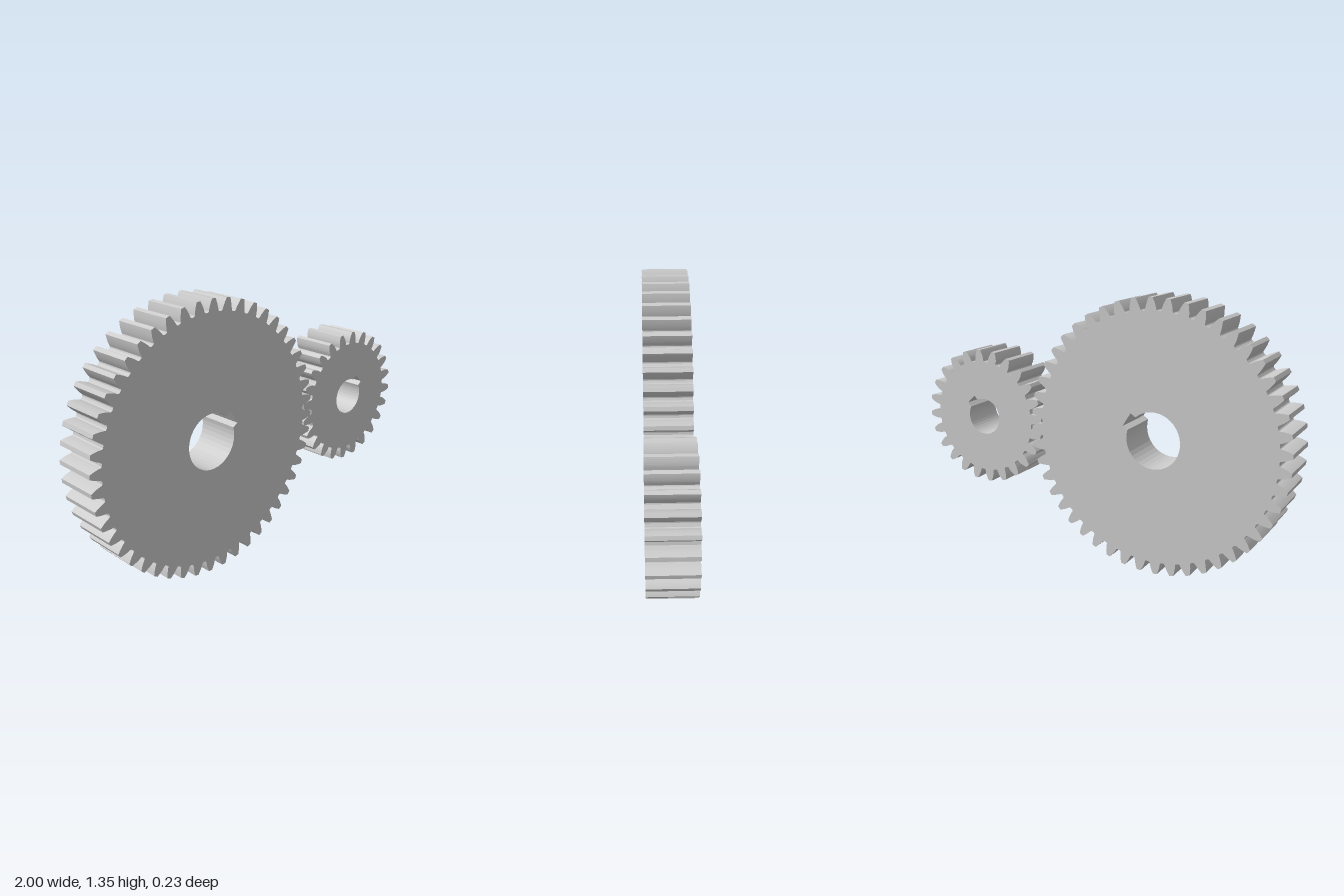
import * as THREE from 'three';

const MODULE = 0.02706;            // pitch diameter / tooth count
const PRESSURE = THREE.MathUtils.degToRad(20);
const THICKNESS = 0.23;
const AXLE_Y = 0.676;

const polar = (r, a) => new THREE.Vector2(r * Math.cos(a), r * Math.sin(a));
const involute = (a) => Math.tan(a) - a;

// Outline of an involute spur gear; teeth are turned back by a quarter pitch.
function gearOutline(teeth) {
  const pitchR = MODULE * teeth / 2;
  const baseR = pitchR * Math.cos(PRESSURE);
  const tipR = pitchR + MODULE;
  const rootR = pitchR - 1.25 * MODULE;
  const pitch = 2 * Math.PI / teeth;
  const halfAngle = (r) =>
    pitch / 4 + involute(PRESSURE) - involute(Math.acos(Math.min(1, baseR / r)));

  // One flank from root to tip as [radius, half angle]
  const startR = Math.max(baseR, rootR + 0.2 * MODULE);
  const steps = 6;
  const flank = [[rootR, halfAngle(startR) + 0.08 * pitch], [rootR + 0.1 * MODULE, halfAngle(startR) + 0.02 * pitch]];
  for (let i = 0; i <= steps; i++) {
    const r = startR + (tipR - startR) * i / steps;
    flank.push([r, halfAngle(r)]);
  }

  const points = [];
  for (let t = 0; t < teeth; t++) {
    const mid = (t - 0.25) * pitch;
    for (const [r, a] of flank) points.push(polar(r, mid - a));
    points.push(polar(tipR, mid));
    for (const [r, a] of [...flank].reverse()) points.push(polar(r, mid + a));
  }
  return points;
}

// Round bore with a rectangular keyway cut into it
function boreOutline(radius, keyHalfWidth, keyReach, keyAngle) {
  const edge = Math.asin(keyHalfWidth / radius);
  const points = [];
  const segments = 36;
  for (let i = 0; i <= segments; i++) {
    points.push(polar(radius, edge + (2 * Math.PI - 2 * edge) * i / segments));
  }
  points.push(new THREE.Vector2(keyReach, -keyHalfWidth), new THREE.Vector2(keyReach, keyHalfWidth));
  const origin = new THREE.Vector2();
  return points.map((p) => p.rotateAround(origin, keyAngle));
}

function makeGear({ name, x, teeth, bore, keyHalfWidth, keyReach, keyAngle }, material) {
  const shape = new THREE.Shape(gearOutline(teeth));
  shape.holes.push(new THREE.Path(
    boreOutline(bore, keyHalfWidth, keyReach, THREE.MathUtils.degToRad(keyAngle))));
  const geometry = new THREE.ExtrudeGeometry(shape, { depth: THICKNESS, bevelEnabled: false });
  geometry.translate(0, 0, -THICKNESS / 2);
  const mesh = new THREE.Mesh(geometry, material);
  mesh.name = name;
  mesh.position.set(x, AXLE_Y, 0);
  return mesh;
}

export function createModel() {
  const group = new THREE.Group();
  group.name = 'gearPair';
  const material = new THREE.MeshStandardMaterial({ color: 0xcccccc, flatShading: true });

  // Large wheel and the pinion it meshes with
  const gears = [
    { name: 'largeGear', x: -0.325, teeth: 48, bore: 0.14, keyHalfWidth: 0.04, keyReach: 0.165, keyAngle: 32 },
    { name: 'smallGear', x: 0.649, teeth: 24, bore: 0.094, keyHalfWidth: 0.03, keyReach: 0.117, keyAngle: 46 },
  ];
  for (const gear of gears) group.add(makeGear(gear, material));
  return group;
}
